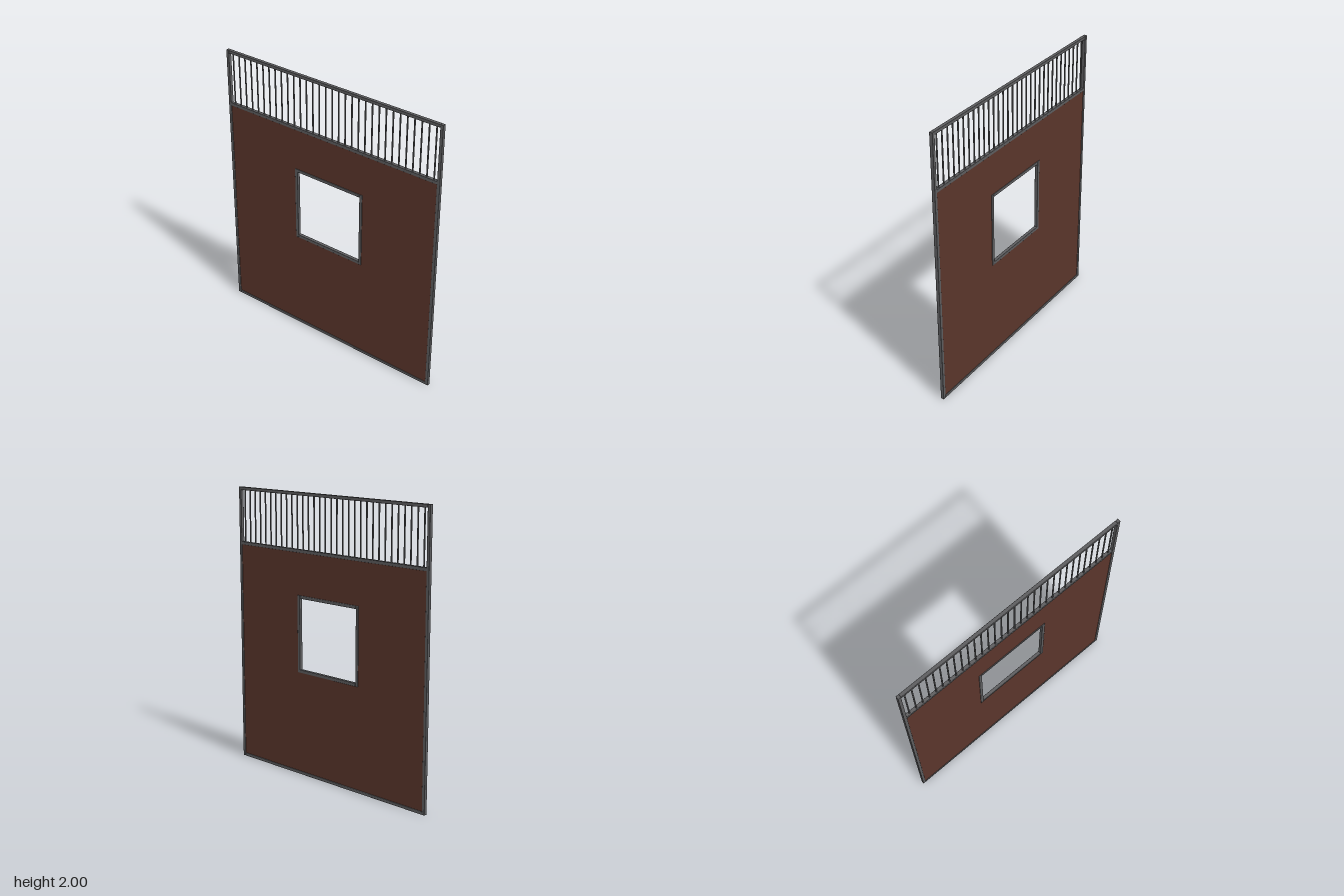
import * as THREE from 'three';
import { RoundedBoxGeometry } from 'three/addons/geometries/RoundedBoxGeometry.js';

export function createModel() {
  const group = new THREE.Group();
  group.name = 'wallPanel';
  const steel = new THREE.MeshStandardMaterial({ color: 0x5c5c5e });
  steel.name = 'grey steel';
  const wood = new THREE.MeshStandardMaterial({ color: 0x5a352b });
  wood.name = 'brown board';

  const W = 0.874, T = 0.022, D = 0.024; // half width, tube width, depth
  const railY = 1.6;
  const win = { x: 0.285, bottom: 0.745, top: 1.293 };

  // Square steel tube spanning a rectangle in the front plane
  function tube(name, x0, x1, y0, y1) {
    const mesh = new THREE.Mesh(new RoundedBoxGeometry(x1 - x0, y1 - y0, D, 1, 0.002), steel);
    mesh.position.set((x0 + x1) / 2, (y0 + y1) / 2, 0);
    mesh.name = name;
    group.add(mesh);
  }

  // Rectangular frame of four tubes
  function frame(name, halfX, bottom, top) {
    tube(name + 'RightPost', -halfX, -halfX + T, bottom, top);
    tube(name + 'LeftPost', halfX - T, halfX, bottom, top);
    tube(name + 'BottomRail', -halfX + T, halfX - T, bottom, bottom + T);
    tube(name + 'TopRail', -halfX + T, halfX - T, top - T, top);
  }

  frame('outer', W, 0, 2);
  frame('window', win.x, win.bottom, win.top);
  tube('middleRail', -W + T, W - T, railY - T / 2, railY + T / 2);

  // Board with a window opening, recessed behind the tube faces
  const rect = (target, x, y0, y1) => {
    target.moveTo(-x, y0).lineTo(x, y0).lineTo(x, y1).lineTo(-x, y1).closePath();
    return target;
  };
  const outline = rect(new THREE.Shape(), W - T / 2, T / 2, railY);
  outline.holes.push(rect(new THREE.Path(), win.x - T / 2, win.bottom + T / 2, win.top - T / 2));
  const thick = 0.016;
  const board = new THREE.Mesh(
    new THREE.ExtrudeGeometry(outline, { depth: thick, bevelEnabled: false }), wood);
  board.position.z = -thick / 2;
  board.name = 'board';
  group.add(board);

  // Row of thin upright bars above the board
  const count = 32, reach = 0.823;
  const barGeometry = new THREE.CylinderGeometry(0.0053, 0.0053, 2 - railY - T, 12);
  for (let i = 0; i < count; i++) {
    const bar = new THREE.Mesh(barGeometry, steel);
    bar.position.set(-reach + (2 * reach * i) / (count - 1), (2 + railY - T / 2) / 2, 0);
    bar.name = 'bar' + (i + 1);
    group.add(bar);
  }
  return group;
}
